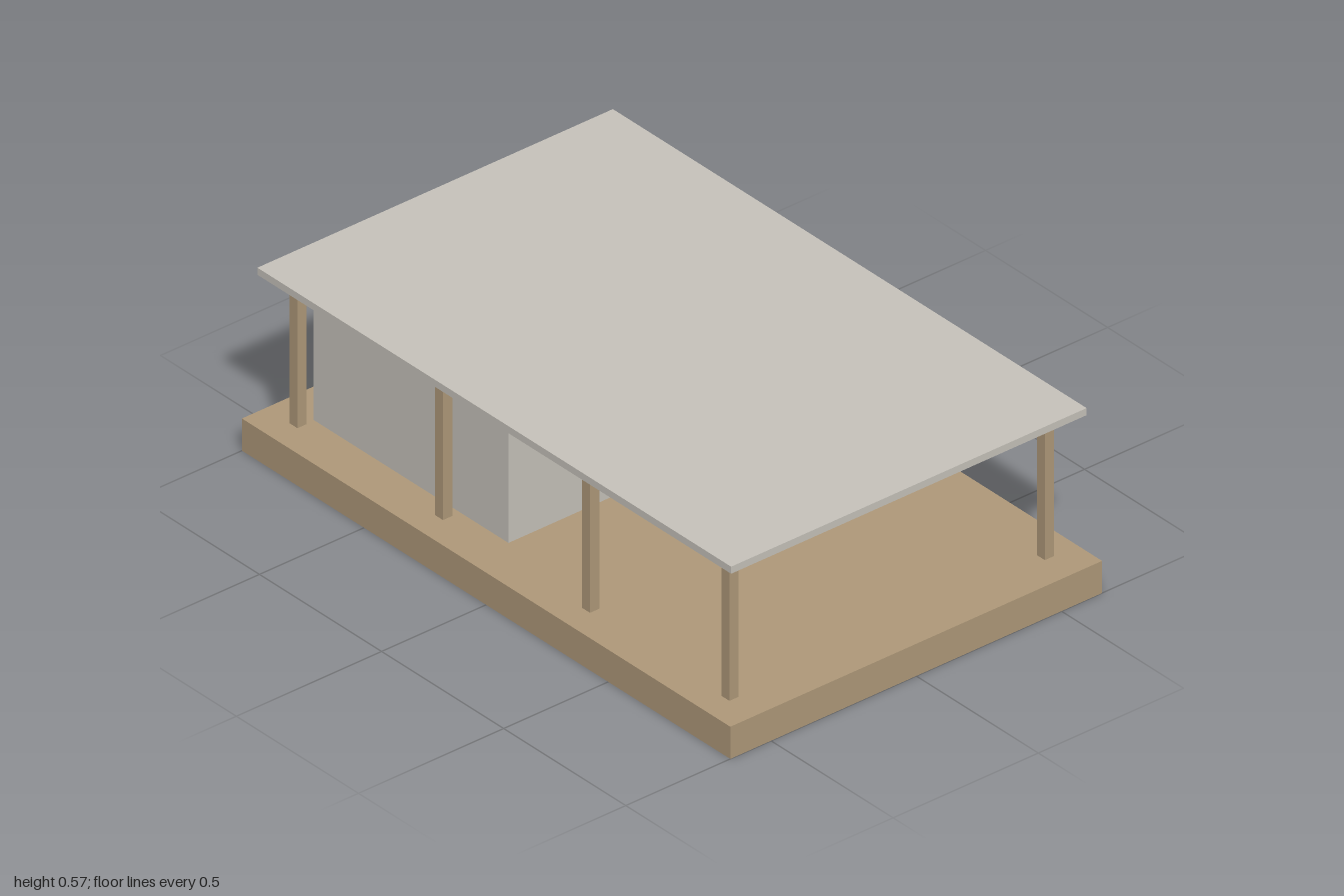
import * as THREE from 'three';

export function createModel() {
  const wood = new THREE.MeshStandardMaterial({ color: 0xb09a7a });
  wood.name = 'wood';
  const concrete = new THREE.MeshStandardMaterial({ color: 0xc8c4bc });
  concrete.name = 'concrete';

  const model = new THREE.Group();
  model.name = 'pavilion';

  // Box given by its min and max corners
  function addBox(name, material, min, max, parent = model) {
    const size = max.map((v, i) => v - min[i]);
    const mesh = new THREE.Mesh(new THREE.BoxGeometry(...size), material);
    mesh.position.set(...max.map((v, i) => (v + min[i]) / 2));
    mesh.name = name;
    parent.add(mesh);
  }

  const floorY = 0.1, roofY = 0.55;

  // Platform, roof slab and enclosed room
  addBox('platform', wood, [-1, 0, -0.64], [1, floorY, 0.64]);
  addBox('roof', concrete, [-0.97, roofY, -0.612], [0.97, 0.572, 0.612]);
  addBox('room', concrete, [-0.873, floorY, -0.156], [-0.075, 0.543, 0.5]);

  // Two rows of square posts
  const posts = new THREE.Group();
  posts.name = 'posts';
  model.add(posts);
  const half = 0.016;
  for (const z of [-0.543, 0.543]) {
    for (const x of [-0.885, -0.289, 0.313, 0.884]) {
      addBox('post', wood, [x - half, floorY, z - half], [x + half, roofY, z + half], posts);
    }
  }

  return model;
}
